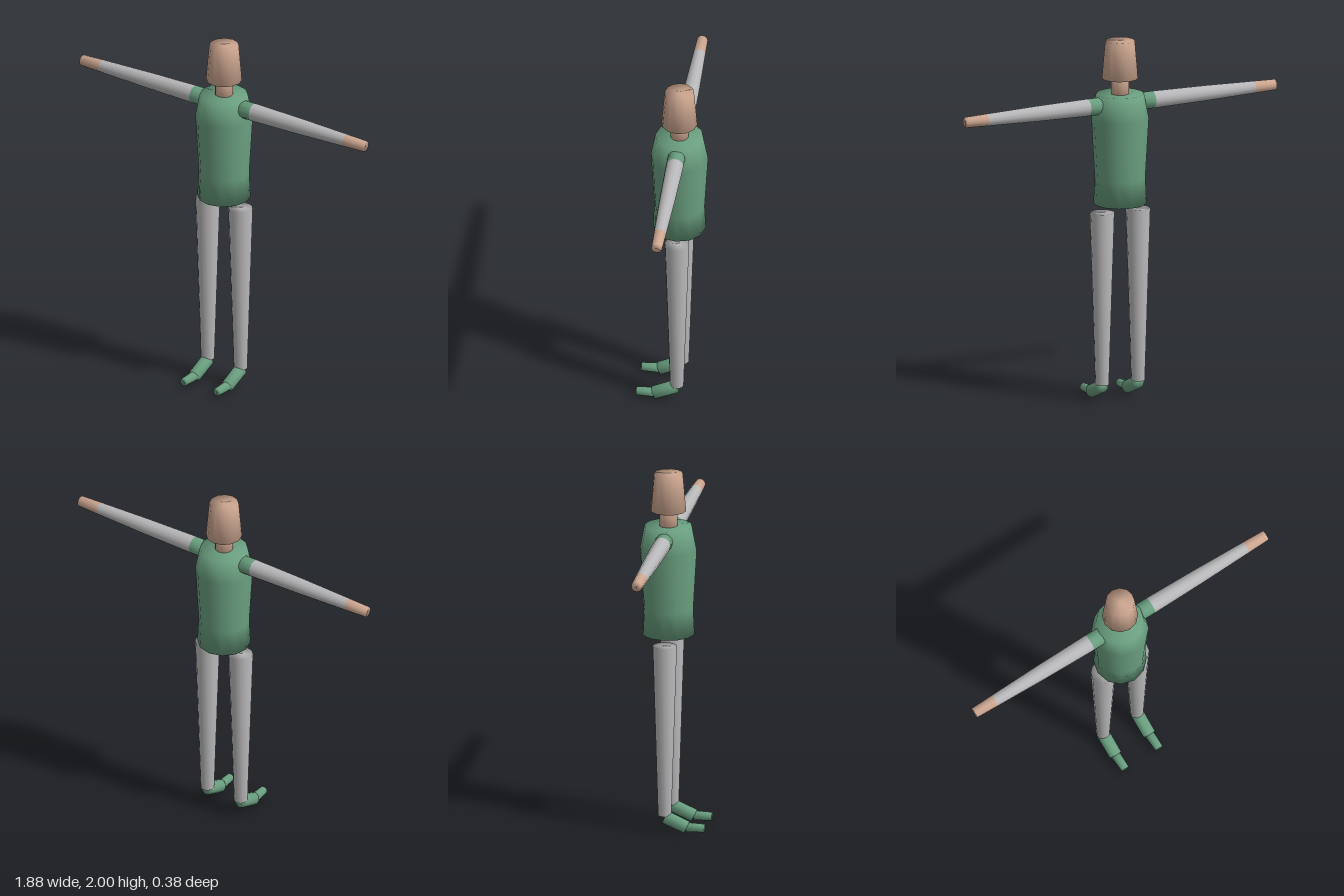
import * as THREE from 'three';

const SIDES = 12;
const Z = -0.029; // depth of the body axis
const UP = new THREE.Vector3(0, 1, 0);

function material(name, color) {
  const m = new THREE.MeshStandardMaterial({ color });
  m.name = name;
  return m;
}

// Smooth turned piece; profile is [radius, height] from bottom to top
function turned(name, profile, mat) {
  const points = profile.map(([r, y]) => new THREE.Vector2(r, y));
  const mesh = new THREE.Mesh(new THREE.LatheGeometry(points, SIDES), mat);
  mesh.name = name;
  return mesh;
}

// Tapered piece from point a to point b, with optional end caps
function limb(name, a, b, rA, rB, mat, capA = true, capB = true) {
  const start = new THREE.Vector3(...a);
  const dir = new THREE.Vector3(...b).sub(start);
  const length = dir.length();
  const profile = [[rA, 0], [rB, length]];
  if (capA) profile.unshift([0, 0]);
  if (capB) profile.push([0, length]);
  const mesh = turned(name, profile, mat);
  mesh.position.copy(start);
  mesh.quaternion.setFromUnitVectors(UP, dir.normalize());
  return mesh;
}

export function createModel() {
  const model = new THREE.Group();
  model.name = 'figure';
  const green = material('green cloth', 0x6a9f80);
  const skin = material('skin', 0xcca690);
  const grey = material('grey cloth', 0xb8b8ba);

  // Torso, neck and head
  const torso = turned('torso', [
    [0, 1.095], [0.144, 1.095], [0.137, 1.24], [0.156, 1.57], [0.13, 1.705], [0, 1.705],
  ], green);
  const neck = turned('neck', [[0, 1.69], [0.05, 1.69], [0.05, 1.8], [0, 1.8]], skin);
  const head = turned('head', [[0, 1.79], [0.098, 1.79], [0.08, 2], [0, 2]], skin);
  for (const part of [torso, neck, head]) {
    part.position.z = Z;
    model.add(part);
  }

  for (const [side, s] of [['left', 1], ['right', -1]]) {
    // Outstretched arm: shoulder, sleeve in two tapers, hand
    const at = (x) => [s * x, 1.648, Z];
    const arm = new THREE.Group();
    arm.name = side + 'Arm';
    arm.add(
      limb(side + 'Shoulder', at(0.08), at(0.197), 0.048, 0.048, green, true, false),
      limb(side + 'UpperSleeve', at(0.197), at(0.5), 0.048, 0.043, grey, false, false),
      limb(side + 'LowerSleeve', at(0.5), at(0.81), 0.043, 0.034, grey, false, false),
      limb(side + 'Hand', at(0.81), at(0.938), 0.034, 0.03, skin, false, true),
    );

    // Leg with a sloping foot and level toe
    const x = s * 0.109;
    const leg = new THREE.Group();
    leg.name = side + 'Leg';
    leg.add(
      limb(side + 'Trouser', [x, 0.097, Z], [x, 1.055, Z], 0.037, 0.067, grey),
      limb(side + 'Foot', [x, 0.087, -0.027], [x, 0.034, 0.094], 0.037, 0.036, green),
      limb(side + 'Toe', [x, 0.035, 0.093], [x, 0.035, 0.191], 0.027, 0.023, green),
    );
    model.add(arm, leg);
  }
  return model;
}
